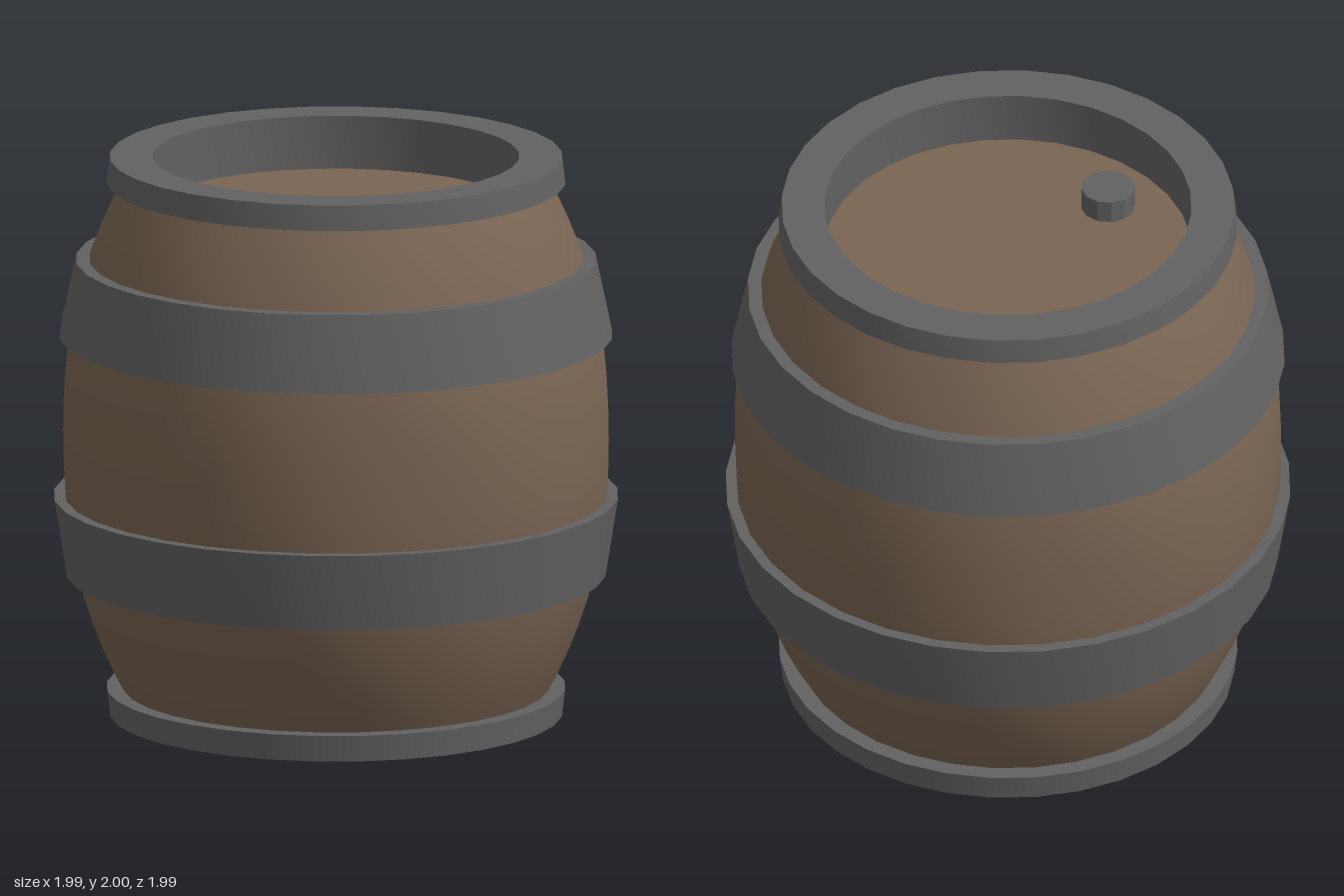
import * as THREE from 'three';
import { toCreasedNormals } from 'three/addons/utils/BufferGeometryUtils.js';

const SIDES = 32;
const wood = new THREE.MeshStandardMaterial({ color: 0x7a6553 });
const iron = new THREE.MeshStandardMaterial({ color: 0x626262 });

// Bulging stave profile: radius at a given height
const staveRadius = (y) => 0.961 - 0.266 * Math.pow(Math.abs(y - 1), 2.3);

function lathe(pairs) {
  return new THREE.LatheGeometry(pairs.map(([r, y]) => new THREE.Vector2(r, y)), SIDES);
}

export function createModel() {
  const model = new THREE.Group();
  const add = (name, geometry, material) => {
    const mesh = new THREE.Mesh(geometry, material);
    mesh.name = name;
    model.add(mesh);
    return mesh;
  };

  // Staves, running from inside the bottom rim to inside the top rim
  const profile = [];
  for (let i = 0; i <= 20; i++) {
    const y = 0.05 + 1.9 * i / 20;
    profile.push([staveRadius(y), y]);
  }
  add('staves', lathe(profile), wood);

  // Hoops: closed bands that follow the slope of the staves
  const addHoop = (name, y0, r0, y1, r1) => {
    const in0 = staveRadius(y0) - 0.02, in1 = staveRadius(y1) - 0.02;
    const ring = lathe([[in0, y0], [r0, y0], [r1, y1], [in1, y1], [in0, y0]]);
    add(name, toCreasedNormals(ring, 0.5), iron);
  };
  addHoop('lowerHoop', 0.505, 0.949, 0.783, 0.993);
  addHoop('upperHoop', 1.36, 0.973, 1.632, 0.915);

  // Bottom rim, closed underneath
  add('bottomRim', new THREE.CylinderGeometry(0.807, 0.796, 0.094, SIDES), iron).position.y = 0.047;

  // Top rim with a deep inner wall
  const rim = lathe([
    [0.645, 1.8], [0.7, 1.8], [0.72, 1.91], [0.807, 1.91],
    [0.796, 2], [0.645, 2], [0.645, 1.8],
  ]);
  add('topRim', toCreasedNormals(rim, 0.5), iron);

  // Recessed lid
  const lid = add('lid', new THREE.CircleGeometry(0.66, SIDES), wood);
  lid.rotation.x = -Math.PI / 2;
  lid.position.y = 1.81;

  // Stopper on the lid
  const bung = new THREE.CylinderGeometry(0.095, 0.095, 0.1, 12);
  add('stopper', toCreasedNormals(bung, 0.3), iron).position.set(-0.38, 1.845, 0.205);

  return model;
}
